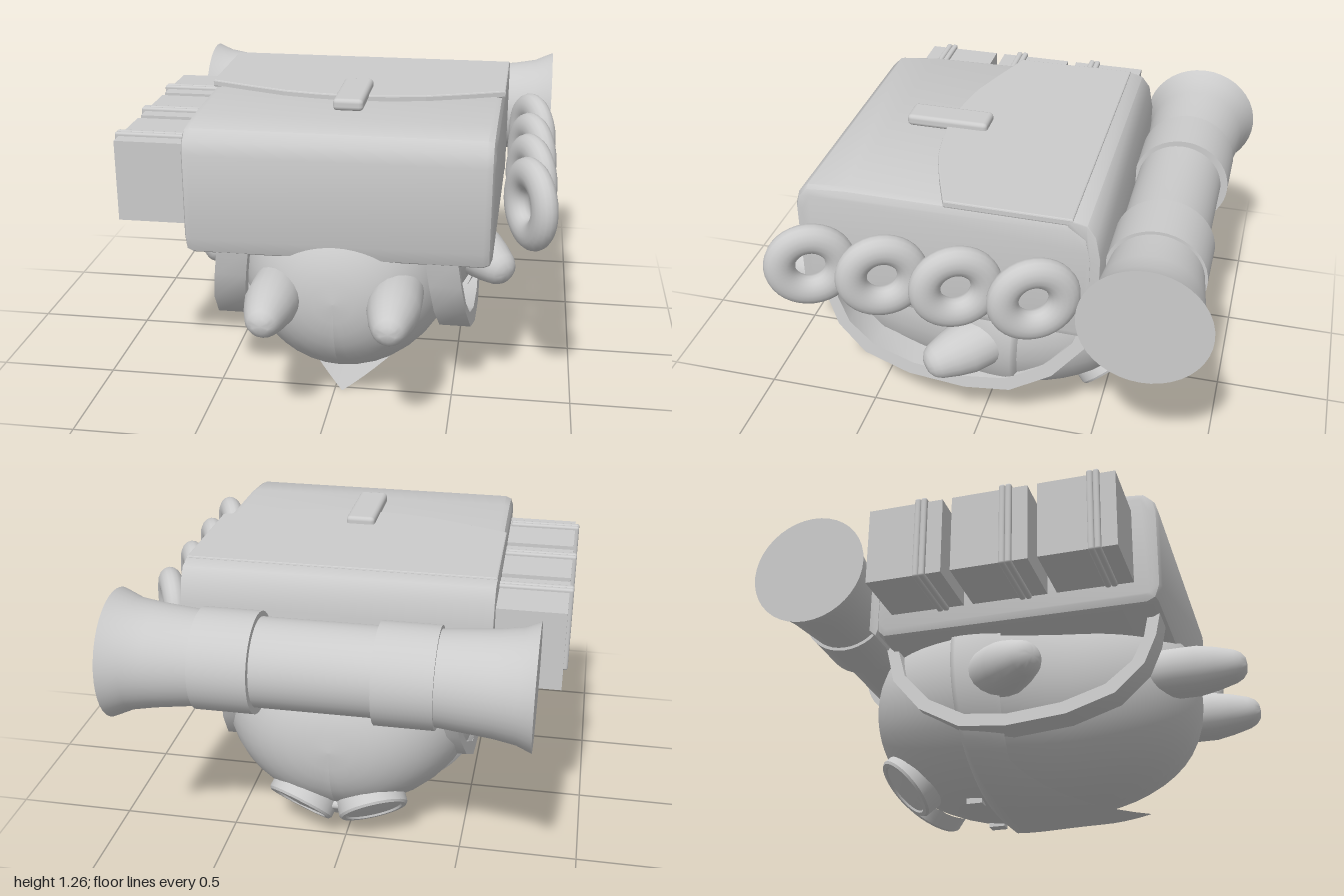
import * as THREE from 'three';
import { toCreasedNormals } from 'three/addons/utils/BufferGeometryUtils.js';
import { RoundedBoxGeometry } from 'three/addons/geometries/RoundedBoxGeometry.js';

const CX = 0.033; // symmetry plane of the creature and its pack
const BODY = { y: 0.52, z: 0.045, ry: 0.48, rz: 0.725 };

// relative girth of the body at distance s (-1..1) along its length
const girth = (s) => Math.pow(Math.max(0, 1 - Math.pow(Math.abs(s), 2.4)), 1 / 2.4);
// half width: slimmer at the feet, broad at the head
const halfWidth = (z) => 0.575 - 0.1 * THREE.MathUtils.smoothstep(z, -0.2, 0.3);

export function createModel() {
  const model = new THREE.Group();
  const grey = new THREE.MeshStandardMaterial({ color: 0xcccccc });
  const thin = new THREE.MeshStandardMaterial({ color: 0xcccccc, side: THREE.DoubleSide });

  const add = (name, geometry, x = 0, y = 0, z = 0, material = grey) => {
    const mesh = new THREE.Mesh(geometry, material);
    mesh.name = name;
    mesh.position.set(x, y, z);
    model.add(mesh);
    return mesh;
  };
  const shapeOf = (pts) => new THREE.Shape(pts.map((p) => new THREE.Vector2(p[0], p[1])));
  const lathe = (pts, sides = 32, crease = 0.6) =>
    toCreasedNormals(new THREE.LatheGeometry(pts.map((p) => new THREE.Vector2(p[0], p[1])), sides), crease);
  const aim = (mesh, dir) =>
    mesh.quaternion.setFromUnitVectors(new THREE.Vector3(0, 1, 0), new THREE.Vector3(...dir).normalize());
  // extrude a (z, y) side profile across x, from x0 to x1
  const acrossX = (pts, x0, x1, bevel) => {
    const g = new THREE.ExtrudeGeometry(shapeOf(pts), {
      depth: x1 - x0 - 2 * bevel, bevelEnabled: bevel > 0,
      bevelSize: bevel, bevelThickness: bevel, bevelOffset: -bevel, bevelSegments: 2,
    });
    g.rotateY(-Math.PI / 2);
    g.translate(x1 - bevel, 0, 0);
    return g;
  };

  // egg-like body lying along z
  const profile = [];
  for (let i = 0; i <= 28; i++) {
    const s = -Math.cos((i / 28) * Math.PI);
    profile.push(new THREE.Vector2(girth(s), s));
  }
  const body = new THREE.LatheGeometry(profile, 36);
  body.rotateX(Math.PI / 2);
  body.scale(1, BODY.ry, BODY.rz);
  const bp = body.attributes.position;
  for (let i = 0; i < bp.count; i++) bp.setX(i, bp.getX(i) * halfWidth(bp.getZ(i) + BODY.z));
  body.computeVertexNormals();
  add('body', body, CX, BODY.y, BODY.z);

  // stubby feet and arms, mirrored
  const limb = (length, r) => lathe([
    [r * 0.95, 0], [r, length * 0.35], [r, length * 0.55], [r * 0.86, length * 0.72],
    [r * 0.66, length * 0.89], [r * 0.52, length * 0.95], [r * 0.3, length * 0.99], [0, length],
  ], 20, 1.2);
  for (const side of [-1, 1]) {
    aim(add('foot', limb(0.45, 0.107), CX + side * 0.245, 0.52, 0.55), [0, 0, 1]);
    const shoulder = [side * 0.42, 0.51, -0.12];
    const hand = [side * 0.665 + 0.018, side > 0 ? 0.43 : 0.48, 0.18];
    aim(add('arm', limb(0.4, 0.115), CX + shoulder[0], shoulder[1], shoulder[2]),
      hand.map((v, i) => v - shoulder[i]));
  }

  // neckerchief: a sheet round the underside with a tip towards the feet
  const cols = 48, rows = 12, pos = [], index = [];
  for (let i = 0; i <= cols; i++) {
    const t = (i / cols) * 2 - 1;
    const a = t * 1.92;
    const zFront = 0.02 + 0.51 * Math.pow(Math.max(0, 1 - Math.abs(t) * 2.4), 1.3);
    const zBack = -0.14 - 0.07 * Math.abs(t);
    for (let j = 0; j <= rows; j++) {
      const z = zFront + (zBack - zFront) * (j / rows);
      const k = girth((Math.min(z, 0.045) - BODY.z) / BODY.rz) * (j === rows ? 0.93 : 1);
      pos.push(Math.sin(a) * halfWidth(z) * 1.03 * k, Math.max(0, BODY.y - Math.cos(a) * BODY.ry * 1.083 * k), z);
      if (i < cols && j < rows) {
        const n = i * (rows + 1) + j;
        index.push(n, n + 1, n + rows + 1, n + 1, n + rows + 2, n + rows + 1);
      }
    }
  }
  const cloth = new THREE.BufferGeometry();
  cloth.setAttribute('position', new THREE.Float32BufferAttribute(pos, 3));
  cloth.setIndex(index);
  cloth.computeVertexNormals();
  add('neckerchief', cloth, CX, 0, 0, thin);

  // flat goggles low on the head, with two small tabs under them
  for (const side of [-1, 1]) {
    const lens = add('goggleLens', lathe([
      [0.15, -0.07], [0.15, 0], [0.142, 0.01], [0.124, 0.01], [0.118, 0.002], [0, 0.012],
    ]), CX + side * 0.16, 0.166, -0.525);
    aim(lens, [side * 0.34, -0.69, -0.64]);
    add('tab', new THREE.BoxGeometry(0.05, 0.025, 0.07), CX + side * 0.16, 0.07, -0.2);
  }
  const bridge = add('goggleBridge', new RoundedBoxGeometry(0.14, 0.05, 0.12, 2, 0.02), CX, 0.16, -0.515);
  bridge.rotation.x = 0.8;

  // shoulder straps: looped bands leaning outward at the bottom
  const outer = [[0.69, 0.7], [0.67, 0.58], [0.62, 0.45], [0.5, 0.33], [0.3, 0.26], [0.05, 0.237],
    [-0.15, 0.26], [-0.33, 0.365], [-0.46, 0.52], [-0.51, 0.7]];
  const inner = [[0.64, 0.7], [0.62, 0.58], [0.57, 0.47], [0.46, 0.375], [0.28, 0.315], [0.05, 0.292],
    [-0.13, 0.315], [-0.29, 0.405], [-0.41, 0.54], [-0.46, 0.7]];
  const band = [...outer, ...inner.reverse()];
  for (const side of [-1, 1]) {
    const strap = acrossX(band, -0.065, 0.065, 0);
    const p = strap.attributes.position;
    for (let i = 0; i < p.count; i++) {
      p.setX(i, p.getX(i) + side * (0.425 + 0.14 * (0.67 - p.getY(i))));
    }
    add('shoulderStrap', toCreasedNormals(strap, 0.6), CX);
  }

  // pack with a sloped front edge, slightly narrower towards the front
  const pack = acrossX([[-0.47, 0.67], [0.66, 0.67], [0.7, 0.69], [0.72, 0.75], [0.72, 1.1], [0.705, 1.155],
    [0.665, 1.195], [0.5, 1.21], [-0.42, 1.215], [-0.48, 1.19], [-0.515, 1.1], [-0.52, 0.72]], -0.6, 0.67, 0.035);
  const pp = pack.attributes.position;
  for (let i = 0; i < pp.count; i++) {
    pp.setX(i, CX + (pp.getX(i) - CX) * (1 - 0.025 * (pp.getZ(i) + 0.52)));
  }
  add('pack', toCreasedNormals(pack, 0.7));

  // flap with a curved front edge, folded down the back
  const flap = new THREE.ExtrudeGeometry(shapeOf([[-0.6, 0.42], [0.67, 0.42], [0.665, -0.09], [0.5, -0.155],
    [0.34, -0.21], [0.19, -0.235], [0.035, -0.25], [-0.12, -0.235], [-0.26, -0.21], [-0.42, -0.155], [-0.595, -0.09]]), {
    depth: 0.018, bevelEnabled: true, bevelSize: 0.006, bevelThickness: 0.006, bevelOffset: -0.006, bevelSegments: 2,
  });
  flap.rotateX(-Math.PI / 2);
  add('flap', flap, 0, 1.211, 0);
  add('flapBack', toCreasedNormals(acrossX([[-0.4, 1.228], [-0.43, 1.228], [-0.475, 1.215], [-0.51, 1.17], [-0.53, 1.07],
    [-0.53, 0.71], [-0.5, 0.68], [-0.49, 0.71], [-0.49, 1.05], [-0.47, 1.15], [-0.4, 1.2]], -0.6, 0.67, 0.004), 0.7));
  add('buckle', new RoundedBoxGeometry(0.125, 0.05, 0.35, 2, 0.018), 0.042, 1.24, 0.245);

  // side pouches with closing bands
  for (const z of [-0.27, 0.09, 0.45]) {
    add('pouch', new THREE.BoxGeometry(0.3, 0.34, 0.32), -0.73, 0.94, z);
    for (const dz of [0.057, 0.083]) {
      add('pouchBand', new RoundedBoxGeometry(0.31, 0.37, 0.026, 2, 0.01), -0.743, 0.94, z + dz);
    }
  }

  // row of rings hung on the other side
  for (const z of [-0.3, 0.01, 0.31, 0.61]) {
    const ring = new THREE.TorusGeometry(0.122, 0.063, 16, 36);
    ring.scale(1, 1, 0.8);
    ring.rotateY((-64 * Math.PI) / 180);
    add('ring', ring, 0.787, 0.93, z);
  }

  // bedroll with flared ends, pressed against the pack in the middle, and two holding bands
  const roll = new THREE.LatheGeometry([[0, -0.79], [0.25, -0.79], [0.225, -0.73], [0.21, -0.64], [0.19, -0.42],
    [0.18, -0.18], [0.18, 0.29], [0.19, 0.52], [0.21, 0.7], [0.225, 0.79], [0.26, 0.87], [0, 0.87]]
    .map((p) => new THREE.Vector2(p[0], p[1])), 40);
  roll.rotateZ(-Math.PI / 2);
  const rp = roll.attributes.position;
  for (let i = 0; i < rp.count; i++) {
    rp.setZ(i, rp.getZ(i) + 0.024 * (1 - Math.min(1, Math.abs(rp.getX(i) - 0.04) / 0.8)));
  }
  add('bedroll', toCreasedNormals(roll, 0.6), 0, 0.937, -0.738);
  for (const x of [-0.3, 0.41]) {
    const holder = new THREE.CylinderGeometry(0.204, 0.204, 0.235, 40);
    holder.rotateZ(Math.PI / 2);
    add('bedrollBand', holder, x, 0.937, -0.727);
  }

  return model;
}
